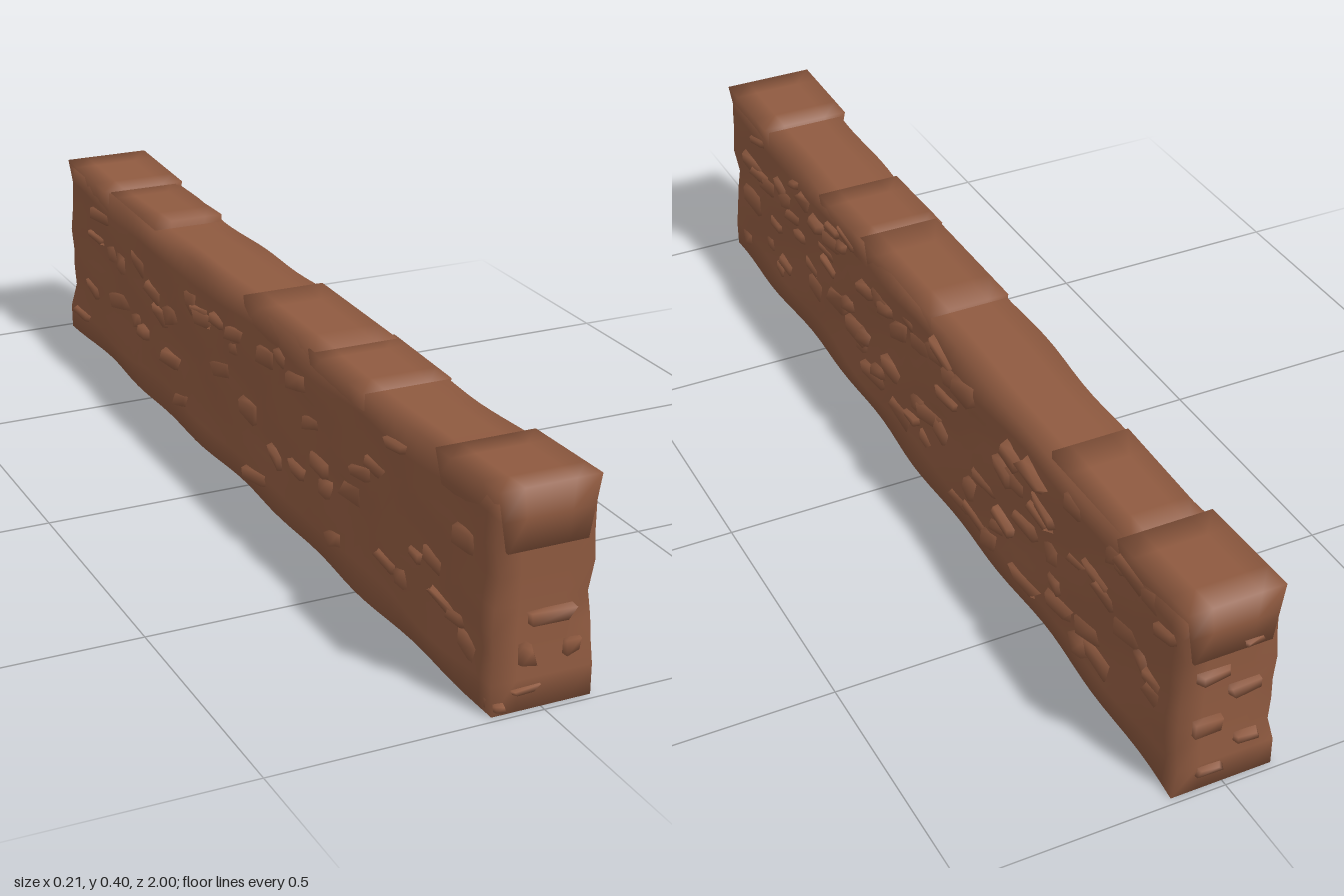
import * as THREE from 'three';
import { mergeVertices, mergeGeometries } from 'three/addons/utils/BufferGeometryUtils.js';

// Small seeded random generator
let seed = 7;
const rnd = () => {
  seed = (seed * 16807) % 2147483647;
  return seed / 2147483647;
};
const between = (a, b) => a + (b - a) * rnd();

// Box whose vertices are moved by a rule, with normals smoothed over the edges
function shapedBox(w, h, d, nx, ny, nz, rule) {
  let g = new THREE.BoxGeometry(w, h, d, nx, ny, nz);
  g.deleteAttribute('normal');
  g.deleteAttribute('uv');
  g = mergeVertices(g, 1e-4);
  const p = g.attributes.position;
  const v = new THREE.Vector3();
  for (let i = 0; i < p.count; i++) {
    rule(v.fromBufferAttribute(p, i));
    p.setXYZ(i, v.x, v.y, v.z);
  }
  g.computeVertexNormals();
  return g;
}

// Height of the worn top along the wall
const topCurve = [
  [-1, 0.39], [-0.8, 0.385], [-0.5, 0.376], [-0.3, 0.38], [0, 0.385],
  [0.2, 0.388], [0.45, 0.38], [0.75, 0.385], [1, 0.392],
];
function topAt(z) {
  for (let i = 1; i < topCurve.length; i++) {
    const [z0, y0] = topCurve[i - 1], [z1, y1] = topCurve[i];
    if (z <= z1) return THREE.MathUtils.lerp(y0, y1, (z - z0) / (z1 - z0));
  }
  return 0.392;
}

// Half width: wider at foot and ends, with lengthwise ripples
function halfWidth(y, z, side) {
  const foot = 0.008 * Math.max(0, 1 - y / 0.12);
  const ends = 0.006 * Math.pow(Math.abs(z), 6);
  const ripple = 0.0035 * Math.sin(z * 17 + y * 31 + side) + 0.003 * Math.sin(z * 7 - y * 55 + side * 2);
  return 0.083 + foot + ends + ripple;
}

// Chip: a jittered little slab lying on a face, local z pointing outward
function chip(len, high, out) {
  const peak = between(0.3, 1);
  return shapedBox(len, high, 0.03, 1, 1, 1, (v) => {
    const outer = v.z > 0;
    const k = outer ? between(0.5, 0.95) : 1;
    v.x *= k * between(0.75, 1.1);
    v.y *= k * between(0.7, 1.15);
    v.z = outer ? out * (v.x > 0 ? peak : between(0.5, 1)) : -0.02;
  });
}

export function createModel() {
  seed = 7;
  const group = new THREE.Group();
  group.name = 'earthWall';
  const clay = new THREE.MeshStandardMaterial({ color: 0x8f5a40 });
  clay.name = 'clay';
  const add = (name, geometry) => {
    const mesh = new THREE.Mesh(geometry, clay);
    mesh.name = name;
    group.add(mesh);
  };

  // Main wall body
  add('wallBody', shapedBox(2, 1, 2, 4, 8, 48, (v) => {
    const z = v.z, t = v.y + 0.5;
    const y = t * topAt(z);
    const round = t === 0 || t === 1 ? 0.985 : 1;
    v.y = y + (t > 0 && t < 1 ? 0.006 * Math.sin(z * 13 + t * 9) : 0);
    v.z = z * (0.987 - 0.006 * Math.sin(t * Math.PI) * Math.abs(z));
    v.x = v.x * halfWidth(y, z, Math.sign(v.x)) * round;
  }));

  // Raised blocks along the top: z from, z to, top at each, half width
  const blocks = [
    [0.78, 0.99, 0.394, 0.4, 0.094],
    [-0.99, -0.76, 0.4, 0.39, 0.092],
    [-0.78, -0.5, 0.386, 0.392, 0.076],
    [-0.02, 0.3, 0.392, 0.388, 0.084],
    [0.28, 0.5, 0.388, 0.382, 0.088],
  ];
  const blockShapes = blocks.map(([z0, z1, y0, y1, w]) =>
    shapedBox(2, 1, 1, 4, 2, 4, (v) => {
      const t = v.z + 0.5, s = v.y + 0.5;
      const top = THREE.MathUtils.lerp(y0, y1, t);
      v.z = THREE.MathUtils.lerp(z0, z1, t);
      v.y = THREE.MathUtils.lerp(0.29, top, s);
      v.x *= THREE.MathUtils.lerp(0.074, w, s);
    }));
  add('topBlocks', mergeGeometries(blockShapes));

  // Chips scattered over both long faces
  for (const [name, side, count] of [['leftChips', 1, 85], ['rightChips', -1, 45]]) {
    const parts = [];
    for (let i = 0; i < count; i++) {
      const z = -0.93 + (1.86 * (i + rnd())) / count;
      const y = between(0.04, 0.34);
      const g = chip(between(0.04, 0.12), between(0.02, 0.05), between(0.004, 0.017));
      g.rotateZ(between(-0.25, 0.25));
      g.rotateY((side * Math.PI) / 2);
      g.translate(side * halfWidth(y, z, side), y, z);
      parts.push(g);
    }
    add(name, mergeGeometries(parts));
  }

  // Chips on the two ends: x, y, width, height
  const endChips = [
    [0.01, 0.165, 0.1, 0.025], [-0.03, 0.1, 0.035, 0.045], [0.055, 0.1, 0.035, 0.03],
    [-0.035, 0.036, 0.07, 0.015], [-0.08, 0.016, 0.03, 0.02],
  ];
  const backChips = [
    [-0.04, 0.3, 0.06, 0.02], [0.03, 0.25, 0.08, 0.025], [-0.03, 0.2, 0.07, 0.025],
    [0.04, 0.14, 0.06, 0.03], [-0.04, 0.09, 0.06, 0.02], [0.03, 0.04, 0.07, 0.02],
  ];
  for (const [name, side, list] of [['frontChips', 1, endChips], ['backChips', -1, backChips]]) {
    add(name, mergeGeometries(list.map(([x, y, w, h]) => {
      const g = chip(w, h, 0.017);
      if (side < 0) g.rotateY(Math.PI);
      return g.translate(x, y, side * 0.983);
    })));
  }
  return group;
}
